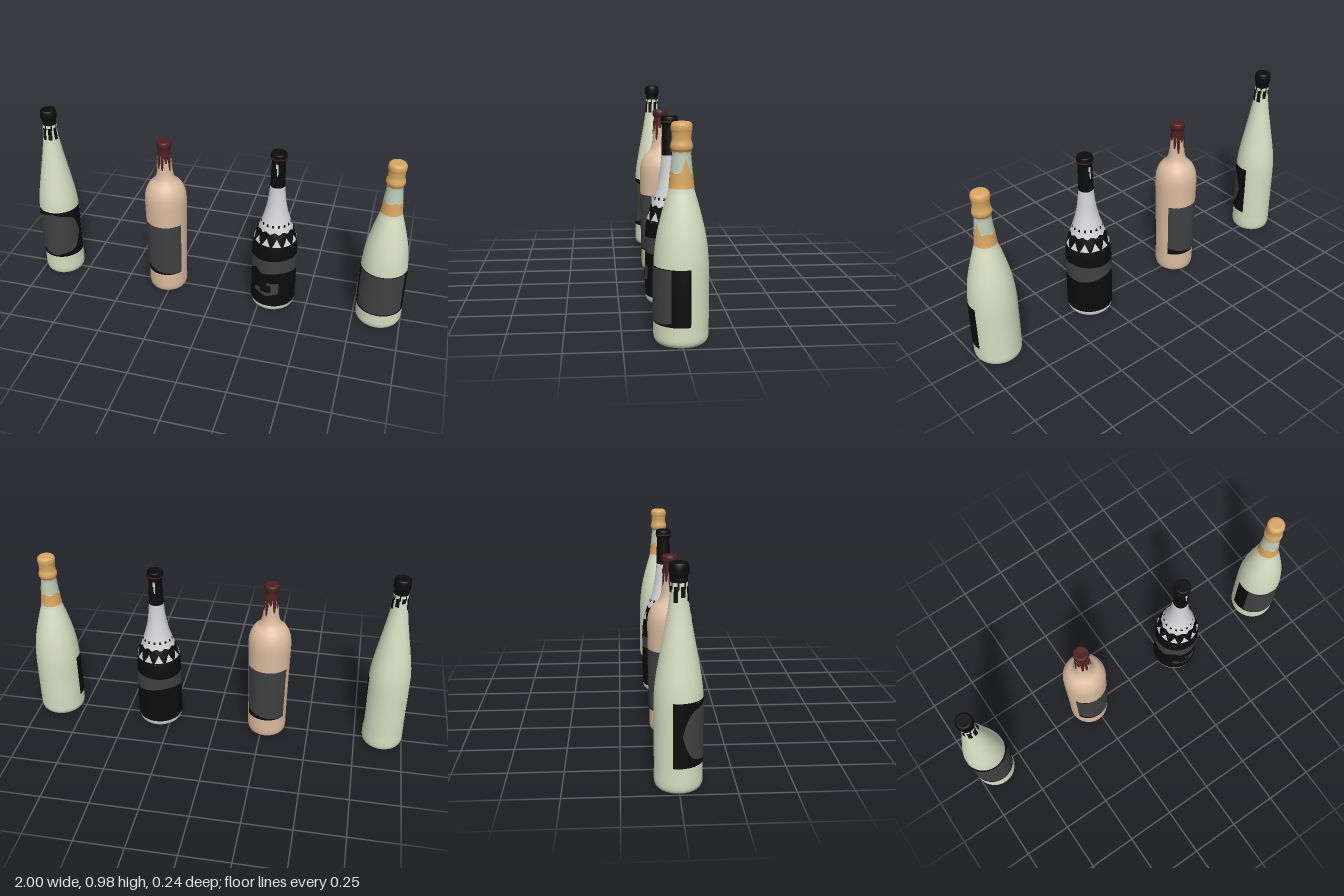
import * as THREE from 'three';

const mat = (name, color) => {
  const m = new THREE.MeshStandardMaterial({ color });
  m.name = name;
  return m;
};
const M = {
  green: mat('pale green glass', 0xd6dcc0),
  neck: mat('grey green glass', 0xbccab6),
  pink: mat('blush glass', 0xdabb9f),
  white: mat('white glass', 0xd3d3d6),
  gold: mat('gold foil', 0xd9a662),
  red: mat('dark red wax', 0x4c2020),
  black: mat('black', 0x0c0c0c),
  grey: mat('dark grey paper', 0x414141),
};
const TAU = Math.PI * 2, D = Math.PI / 180;
const fn = (v) => (typeof v === 'function' ? v : () => v);
const clamp = THREE.MathUtils.clamp;

// One bottle: glass lathe below the cap line, cap lathe above it.
// wrap() adds a thin curved plate that follows the bottle's surface.
function bottle(name, x, profile, capY, glass, capMat) {
  const group = new THREE.Group();
  group.name = name;
  group.position.x = x;
  const base = profile[0][0];
  const punt = [[0, 0.03], [base * 0.5, 0.022], [base * 0.8, 0.003], [base * 0.92, 0]];
  const curve = new THREE.CatmullRomCurve3(
    [...punt, ...profile].map(([r, y]) => new THREE.Vector3(r, y, 0)), false, 'centripetal');
  const pts = curve.getPoints(160).map((p) => new THREE.Vector2(Math.max(p.x, 0), p.y));
  const radius = (y) => {
    for (let i = pts.length - 1; i > 0; i--) {
      const a = pts[i - 1], b = pts[i];
      if (y >= a.y && y <= b.y) return a.x + (b.x - a.x) * (y - a.y) / (b.y - a.y || 1);
    }
    return base;
  };
  const add = (part, geometry, material) => {
    const mesh = new THREE.Mesh(geometry, material);
    mesh.name = part;
    group.add(mesh);
  };
  const split = new THREE.Vector2(radius(capY), capY);
  const cut = pts.findIndex((p, i) => i > 50 && p.y > capY);
  add('glass', new THREE.LatheGeometry([...pts.slice(0, cut), split], 64), glass);
  add('cap', new THREE.LatheGeometry([split, ...pts.slice(cut)], 64), capMat);

  const wrap = (part, a0, a1, lo, hi, off, material) => {
    const low = fn(lo), high = fn(hi);
    const nA = Math.max(4, Math.ceil((a1 - a0) / 2.5)), nY = 8, pos = [], idx = [];
    for (let i = 0; i <= nA; i++) {
      const deg = a0 + (a1 - a0) * i / nA, a = deg * D;
      for (let j = 0; j <= nY; j++) {
        const y = low(deg) + (high(deg) - low(deg)) * j / nY, r = radius(y) + off;
        pos.push(r * Math.sin(a), y, r * Math.cos(a));
        if (i < nA && j < nY) {
          const p = i * (nY + 1) + j, q = p + nY + 1;
          idx.push(p, q, q + 1, p, q + 1, p + 1);
        }
      }
    }
    const g = new THREE.BufferGeometry();
    g.setAttribute('position', new THREE.Float32BufferAttribute(pos, 3));
    g.setIndex(idx);
    g.computeVertexNormals();
    add(part, g, material);
  };
  return { group, wrap };
}

// Tall slender bottle with a black cap
function tallBottle() {
  const { group, wrap } = bottle('tallBottle', -0.895, [
    [0.097, 0.005], [0.104, 0.02], [0.105, 0.1], [0.105, 0.25], [0.105, 0.4], [0.102, 0.45], [0.094, 0.51],
    [0.07, 0.645], [0.052, 0.745], [0.041, 0.82], [0.037, 0.88], [0.037, 0.925], [0.041, 0.932],
    [0.041, 0.965], [0.036, 0.979], [0.02, 0.98], [0, 0.98]], 0.9, M.green, M.black);
  wrap('label', -106, 106, 0.12, 0.41, 0.0012, M.black);
  const half = (a) => {
    const t = Math.abs(a);
    return 0.135 - 0.03 * clamp(t / 62, 0, 1) - 0.105 * Math.pow(clamp((t - 50) / 34, 0, 1), 2.5);
  };
  wrap('labelPanel', -84, 84, (a) => 0.265 - half(a), (a) => 0.265 + half(a), 0.0025, M.grey);
  for (let i = 0; i < 8; i++) {
    const a = -22 + i * 45;
    wrap('capBlock', a - 14, a + 14, 0.82 + (i > 2 ? 0.02 * (i % 3) : 0), 0.885, 0.0015, M.black);
    wrap('capDrip', a + 10, a + 20, 0.872, 0.902, 0.0015, M.black);
  }
  return group;
}

// High-shouldered bottle with dripping wax
function waxBottle() {
  const { group, wrap } = bottle('waxBottle', -0.275, [
    [0.094, 0.005], [0.1, 0.02], [0.102, 0.12], [0.105, 0.3], [0.109, 0.48], [0.109, 0.56], [0.102, 0.6],
    [0.084, 0.636], [0.058, 0.662], [0.045, 0.69], [0.039, 0.73], [0.035, 0.8], [0.033, 0.85],
    [0.038, 0.856], [0.038, 0.878], [0.033, 0.885], [0.02, 0.885], [0, 0.883]], 0.82, M.pink, M.red);
  for (const turn of [0, 180]) {
    wrap('label', turn - 61, turn + 61, 0.115, 0.425, 0.0012, M.black);
    wrap('labelPanel', turn - 61, turn + 61,
      (a) => 0.118 + 0.036 * Math.pow((61 - (a - turn)) / 122, 1.6), 0.426, 0.0025, M.grey);
  }
  const drips = [0.73, 0.77, 0.725, 0.79, 0.745, 0.72, 0.78, 0.74, 0.76, 0.725, 0.78, 0.735];
  drips.forEach((y, i) => {
    const mid = i * 30;
    wrap('waxDrip', mid - 15, mid + 15,
      (a) => y + (0.812 - y) * Math.pow(Math.abs(a - mid) / 15, 3), 0.824, 0.002, M.red);
  });
  return group;
}

// Wide bottle with an all-round black sleeve
function sleeveBottle() {
  const { group, wrap } = bottle('sleeveBottle', 0.315, [
    [0.106, 0.005], [0.114, 0.018], [0.116, 0.06], [0.116, 0.2], [0.116, 0.34], [0.113, 0.38], [0.106, 0.42],
    [0.095, 0.455], [0.078, 0.505], [0.061, 0.56], [0.05, 0.61], [0.042, 0.67], [0.038, 0.72], [0.036, 0.8],
    [0.036, 0.865], [0.04, 0.87], [0.04, 0.895], [0.037, 0.904], [0.02, 0.905], [0, 0.905]], 0.72, M.white, M.black);
  wrap('sleeve', 0, 360, 0.035, (a) => 0.479 + 0.005 * Math.sin(a * 12 * D), 0.0012, M.black);
  wrap('sleeveBand', 0, 360, (a) => 0.24 + 0.012 * Math.sin((a * 2 + 30) * D),
    (a) => 0.322 + 0.008 * Math.sin((a + 40) * D), 0.0025, M.grey);
  wrap('sleeveHill', -62, -18, 0.225, (a) => 0.268 - 0.035 * Math.abs(a + 40) / 22, 0.0035, M.black);
  wrap('sleevePatch', -42, 24, (a) => 0.1 + 0.02 * Math.abs(a + 9) / 33,
    (a) => (a < -8 ? 0.145 : 0.185), 0.0025, M.grey);
  wrap('sleevePatchGap', -24, 4, 0.125, 0.17, 0.0035, M.black);
  for (let i = 0; i < 12; i++) {
    const a = 15 + i * 30;
    wrap('triangle', a - 12, a + 12, 0.412, (t) => 0.412 + 0.042 * (1 - Math.abs(t - a) / 12), 0.0025, M.white);
  }
  for (let i = 0; i < 16; i++) {
    const a = i * 22.5;
    wrap('dot', a - 4, a + 4, 0.508, 0.521, 0.0015, M.black);
  }
  wrap('capRing', 0, 360, 0.876, 0.884, 0.0015, M.red);
  for (const a of [0, 180]) wrap('capStreak', a - 10, a + 10, (t) => (t < a ? 0.83 : 0.79), 0.855, 0.0015, M.white);
  return group;
}

// Sparkling wine bottle with gold foil
function foilBottle() {
  const { group, wrap } = bottle('foilBottle', 0.882, [
    [0.107, 0.005], [0.116, 0.02], [0.118, 0.07], [0.118, 0.2], [0.117, 0.33], [0.113, 0.39], [0.104, 0.46],
    [0.086, 0.54], [0.067, 0.61], [0.053, 0.66], [0.046, 0.73], [0.04, 0.79], [0.039, 0.812], [0.045, 0.822],
    [0.047, 0.835], [0.041, 0.86], [0.042, 0.89], [0.045, 0.905], [0.043, 0.924], [0.034, 0.933],
    [0.018, 0.935], [0, 0.935]], 0.814, M.green, M.gold);
  wrap('neckGlass', 0, 360, 0.73, 0.815, 0.0006, M.neck);
  const peak = (a, mid) => Math.max(0, 1 - Math.abs(a - mid) / 26);
  wrap('neckFoil', 0, 360, 0.662,
    (a) => 0.728 + 0.004 * Math.sin(a * 5 * D) + 0.06 * peak(a, 110), 0.0018, M.gold);
  wrap('foilEdge', 0, 360, (a) => 0.809 + 0.004 * Math.sin(a * 8 * D), 0.818, 0.0015, M.gold);
  wrap('label', -105, 105, 0.093, 0.338, 0.0012, M.black);
  wrap('labelPanel', -67, 65, (a) => 0.1 + 0.012 * Math.pow(Math.abs(a) / 66, 4), 0.335, 0.0025, M.grey);
  return group;
}

export function createModel() {
  const model = new THREE.Group();
  model.name = 'bottles';
  model.add(tallBottle(), waxBottle(), sleeveBottle(), foilBottle());
  return model;
}
